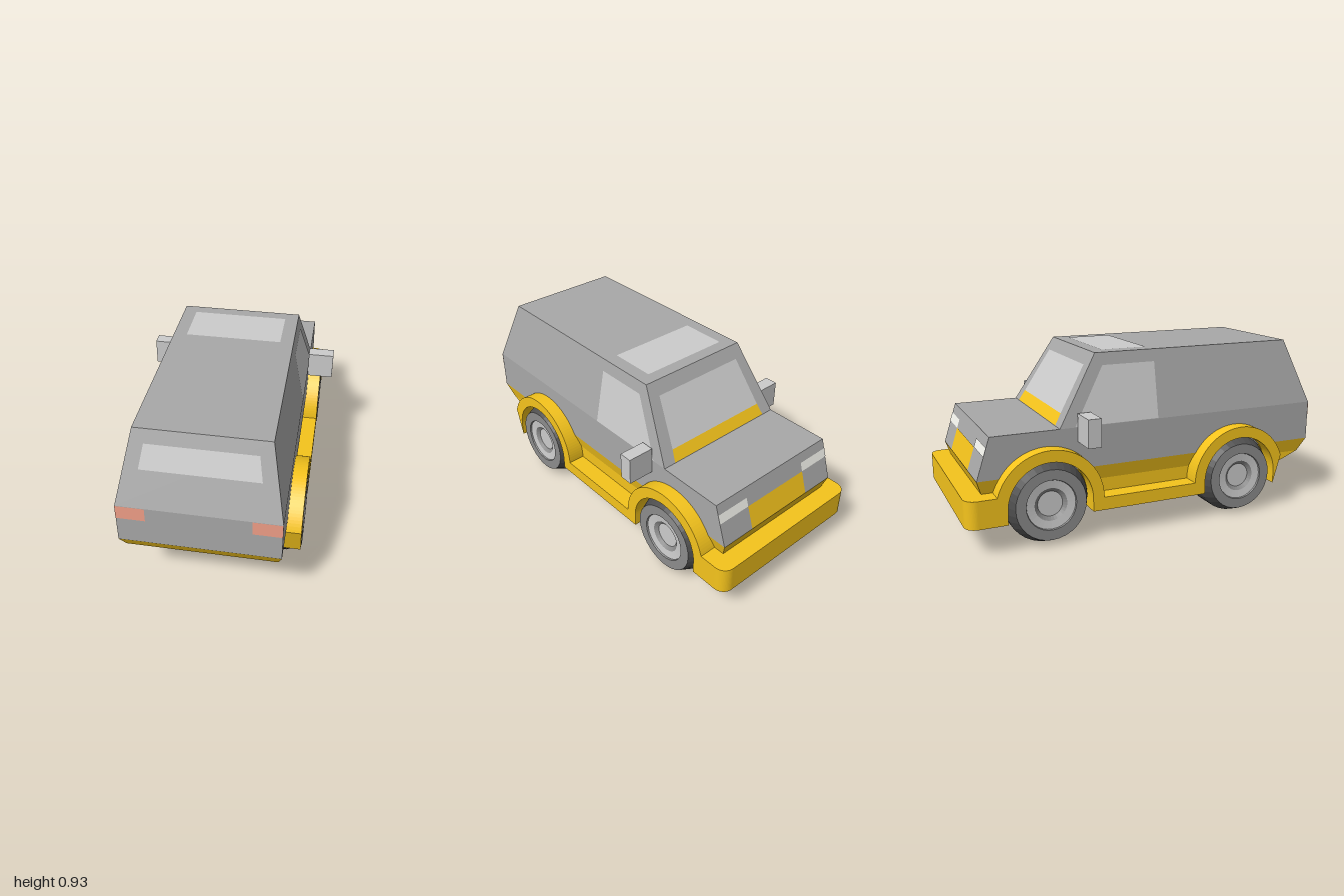
import * as THREE from 'three';

const paint = (color) => new THREE.MeshStandardMaterial({ color });
const grey = paint(0xcccccc);
const bodyGrey = paint(0xa8a8a8);
const yellow = paint(0xf5c41c);
const tyreGrey = paint(0x505050);
const wallGrey = paint(0x8c8c8c);
const glass = new THREE.MeshStandardMaterial({ color: 0xcccccc, side: THREE.DoubleSide });
const lampRed = new THREE.MeshStandardMaterial({ color: 0xf2a088, side: THREE.DoubleSide });
const lampWhite = new THREE.MeshStandardMaterial({ color: 0xf4f4ee, side: THREE.DoubleSide });
const trim = new THREE.MeshStandardMaterial({ color: 0xf5c41c, side: THREE.DoubleSide });

export function createModel() {
  const car = new THREE.Group();
  car.name = 'car';

  const add = (name, geometry, material, parent = car) => {
    const mesh = new THREE.Mesh(geometry, material);
    mesh.name = name;
    parent.add(mesh);
    return mesh;
  };

  // Tapered box between two levels, each given as [y, half width, nose z, tail z]
  const tapered = (name, low, high, material) => {
    const g = new THREE.BoxGeometry(1, 1, 1);
    const p = g.attributes.position;
    for (let i = 0; i < p.count; i++) {
      const [y, w, nose, tail] = p.getY(i) > 0 ? high : low;
      p.setXYZ(i, Math.sign(p.getX(i)) * w, y, p.getZ(i) > 0 ? tail : nose);
    }
    g.computeVertexNormals();
    add(name, g, material);
  };

  // Flat four-cornered panel lifted slightly off the bodywork
  const panel = (name, corners, material) => {
    const v = corners.map((c) => new THREE.Vector3(...c));
    const n = v[1].clone().sub(v[0]).cross(v[2].clone().sub(v[0])).normalize();
    const out = v[0].clone().add(v[2]).multiplyScalar(0.5).sub(new THREE.Vector3(0, 0.45, 0));
    if (n.dot(out) < 0) {
      n.negate();
      v.reverse();
    }
    v.forEach((c) => c.addScaledVector(n, 0.002));
    const g = new THREE.BufferGeometry().setFromPoints(v);
    g.setIndex([0, 1, 2, 0, 2, 3]);
    g.computeVertexNormals();
    add(name, g, material);
  };

  // Bodywork
  const waist = [0.575, 0.39, -0.855, 1];
  const belt = [0.36, 0.39, -0.925, 1];
  const skirt = [0.285, 0.37, -0.9, 0.955];
  tapered('cabin', [0.575, 0.39, -0.5, 1], [0.93, 0.32, -0.285, 0.857], bodyGrey);
  tapered('lowerBody', belt, waist, bodyGrey);
  tapered('skirt', skirt, belt, yellow);
  tapered('underbody', [0.215, 0.37, -0.87, 0.78], skirt, yellow);

  // Surface positions on the sloping cabin and nose
  const rise = (y) => (y - 0.575) / 0.355;
  const sideX = (y) => 0.39 - 0.07 * rise(y);
  const tailZ = (y) => 1 - 0.143 * rise(y);
  const screenZ = (y) => -0.5 + 0.215 * rise(y);
  const noseZ = (y) => -0.855 - 0.07 * (0.575 - y) / 0.215;

  // Symmetric panel across the width of a sloping face
  const across = (name, zAt, y0, w0, y1, w1, material) => panel(name,
    [[-w0, y0, zAt(y0)], [w0, y0, zAt(y0)], [w1, y1, zAt(y1)], [-w1, y1, zAt(y1)]], material);
  across('rearWindow', tailZ, 0.75, 0.283, 0.865, 0.263, glass);
  across('windscreen', screenZ, 0.633, 0.307, 0.865, 0.27, glass);
  across('windscreenTrim', screenZ, 0.577, 0.32, 0.633, 0.307, trim);
  across('grille', noseZ, 0.362, 0.2, 0.48, 0.2, trim);
  panel('sunroof', [[-0.25, 0.93, 0.03], [0.25, 0.93, 0.03], [0.25, 0.93, -0.22], [-0.25, 0.93, -0.22]], glass);

  // Fender outline in z and y: sill, two arches and two wheel openings
  const wheelY = 0.215, rearZ = 0.51, frontZ = -0.575, outer = 0.28, inner = 0.22, floorY = 0.147;
  const fender = new THREE.Shape();
  fender.moveTo(0.775, floorY);
  fender.absarc(rearZ, wheelY, outer, Math.acos(0.265 / outer), Math.PI, false);
  fender.absarc(frontZ, wheelY, outer, 0, Math.PI - Math.asin(0.075 / outer), false);
  fender.lineTo(-0.845, floorY);
  for (const z of [frontZ, rearZ]) {
    fender.lineTo(z - inner, floorY);
    fender.absarc(z, wheelY, inner, Math.PI, 0, true);
    fender.lineTo(z + inner, floorY);
  }
  const fenderGeo = new THREE.ExtrudeGeometry(fender, { depth: 0.213, bevelEnabled: false, curveSegments: 24 });
  fenderGeo.rotateY(-Math.PI / 2);

  // Floor between the wheels
  const floor = add('floor', new THREE.BoxGeometry(0.5, 0.068, 1.655), yellow);
  floor.position.set(0, 0.181, -0.0525);

  // Front bumper with rounded corners, drawn in plan
  const r = 0.06, bw = 0.463;
  const plan = new THREE.Shape();
  plan.moveTo(-bw, 0.835);
  plan.lineTo(bw, 0.835);
  plan.absarc(bw - r, 1 - r, r, 0, Math.PI / 2, false);
  plan.absarc(-bw + r, 1 - r, r, Math.PI / 2, Math.PI, false);
  const bumperGeo = new THREE.ExtrudeGeometry(plan, { depth: 0.143, bevelEnabled: false, curveSegments: 8 });
  bumperGeo.rotateX(-Math.PI / 2);
  add('frontBumper', bumperGeo, yellow).position.y = floorY;

  // Wheel parts turned around the axle; y runs outwards
  const turned = (points) => {
    const g = new THREE.LatheGeometry(points.map((p) => new THREE.Vector2(...p)), 32).toNonIndexed();
    g.computeVertexNormals();
    return g.rotateZ(-Math.PI / 2);
  };
  const wheelParts = [
    ['tyre', turned([[0, 0.25], [0.215, 0.25], [0.215, 0.39], [0.183, 0.463]]), tyreGrey],
    ['sidewall', turned([[0.183, 0.463], [0.13, 0.463], [0.127, 0.455]]), wallGrey],
    ['rim', turned([[0.127, 0.455], [0.085, 0.45]]), grey],
    ['hubRing', turned([[0.085, 0.45], [0.065, 0.435]]), wallGrey],
    ['hub', turned([[0.065, 0.435], [0, 0.435]]), grey],
  ];

  for (const s of [1, -1]) {
    const side = s > 0 ? 'left' : 'right';
    add(side + 'Fender', fenderGeo, yellow).position.x = s > 0 ? 0.463 : -0.25;

    const mirror = add(side + 'Mirror', new THREE.BoxGeometry(0.142, 0.145, 0.07), grey);
    mirror.position.set(s * 0.46, 0.573, -0.371);

    panel(side + 'Window', [[0.577, 0.04], [0.577, -0.42], [0.867, -0.25], [0.867, 0.04]]
      .map(([y, z]) => [s * sideX(y), y, z]), glass);

    panel(side + 'TailLight', [[0.25, 0.5], [0.39, 0.5], [0.39, 0.575], [0.25, 0.575]]
      .map(([x, y]) => [s * x, y, 1]), lampRed);

    panel(side + 'Headlight', [[0.2, 0.48], [0.39, 0.48], [0.39, 0.525], [0.2, 0.525]]
      .map(([x, y]) => [s * x, y, noseZ(y)]), lampWhite);

    for (const [end, z] of [['Front', frontZ], ['Rear', rearZ]]) {
      const wheel = new THREE.Group();
      wheel.name = side + end + 'Wheel';
      wheel.position.set(0, wheelY, z);
      if (s < 0) wheel.rotation.y = Math.PI;
      wheelParts.forEach(([name, geo, mat]) => add(name, geo, mat, wheel));
      car.add(wheel);
    }
  }
  return car;
}
